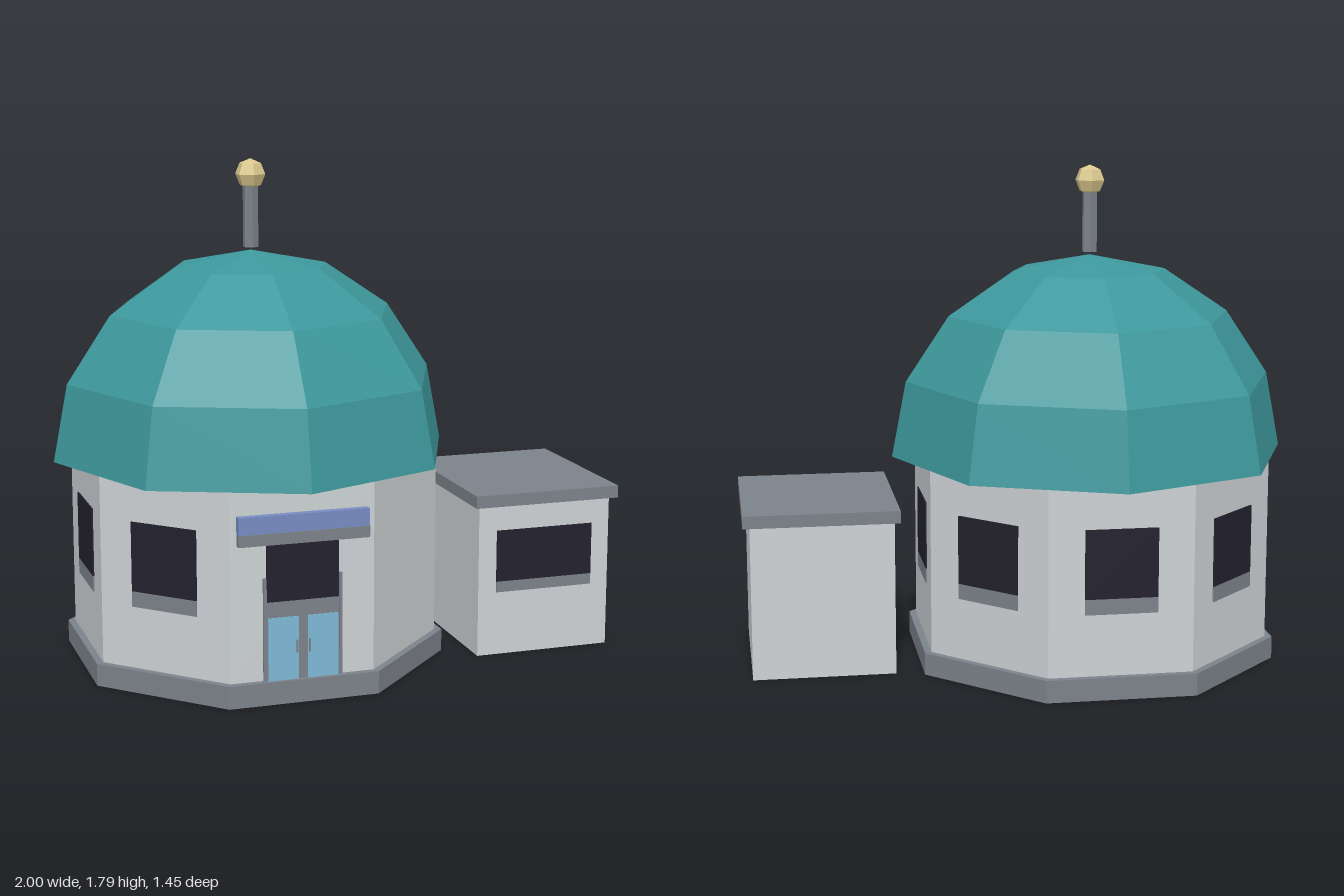
import * as THREE from 'three';

export function createModel() {
  const model = new THREE.Group();
  model.name = 'domedPavilion';

  const mat = (name, color, extra = {}) => {
    const m = new THREE.MeshStandardMaterial({ color, flatShading: true, ...extra });
    m.name = name;
    return m;
  };
  const wall = mat('paleWall', 0xcdd2d4);
  const trim = mat('greyTrim', 0x7c828a, { side: THREE.DoubleSide });
  const teal = mat('tealRoof', 0x3d989c, { side: THREE.DoubleSide });
  const dark = mat('darkWindow', 0x23212d);
  const glass = mat('blueGlass', 0x7fb8d6);
  const blue = mat('blueSign', 0x778cc2);
  const gold = mat('paleGold', 0xd9c78c);

  const add = (parent, name, geo, material, x = 0, y = 0, z = 0) => {
    const mesh = new THREE.Mesh(geo, material);
    mesh.name = name;
    mesh.position.set(x, y, z);
    parent.add(mesh);
    return mesh;
  };
  // Box given by its extents
  const box = (parent, name, material, x0, x1, y0, y1, z0, z1) =>
    add(parent, name, new THREE.BoxGeometry(x1 - x0, y1 - y0, z1 - z0), material,
      (x0 + x1) / 2, (y0 + y1) / 2, (z0 + z1) / 2);
  // Dark pane over a flat grey sill strip, on a wall facing +z
  const windowPane = (parent, cx, half, sill, y0, y1, z) => {
    box(parent, 'windowPane', dark, cx - half, cx + half, y0, y1, z - 0.001, z + 0.005);
    box(parent, 'windowSill', trim, cx - half, cx + half, sill, y0, z - 0.001, z + 0.005);
  };

  // Octagonal hall, flat side to the front
  const hall = new THREE.Group();
  hall.name = 'hall';
  hall.position.x = -0.275;
  model.add(hall);
  const C = Math.cos(Math.PI / 8);
  const octagon = (apothem, h, open) =>
    new THREE.CylinderGeometry(apothem / C, apothem / C, h, 8, 1, open).rotateY(Math.PI / 8);
  add(hall, 'walls', octagon(0.615, 0.67, false), wall, 0, 0.415, 0);

  // Plinth, hollow underneath
  add(hall, 'plinth', octagon(0.64, 0.08, true), trim, 0, 0.04, 0);
  add(hall, 'plinthTop', new THREE.CircleGeometry(0.64 / C, 8).rotateX(-Math.PI / 2).rotateY(Math.PI / 8),
    trim, 0, 0.079, 0);

  // Windows on every side except the front right
  for (let k = 0; k < 8; k++) {
    if (k === 1) continue;
    const side = new THREE.Group();
    side.name = 'wallWindow';
    side.rotation.y = k * Math.PI / 4;
    windowPane(side, 0, 0.128, 0.3, 0.355, 0.6, 0.615);
    hall.add(side);
  }

  // Faceted dome with corners on the axes
  const profile = [[0.725, 0.745], [0.672, 1.02], [0.515, 1.255], [0.278, 1.415], [0, 1.47]]
    .map(([r, y]) => new THREE.Vector2(r, y));
  add(hall, 'dome', new THREE.LatheGeometry(profile, 8), teal);

  // Finial
  add(hall, 'finialPost', new THREE.CylinderGeometry(0.028, 0.028, 0.22, 6), trim, 0, 1.59, 0);
  add(hall, 'finialBall', new THREE.SphereGeometry(0.055, 6, 4).rotateY(Math.PI / 6), gold, 0, 1.738, 0);

  // Entrance: frame, two glass doors with handles
  const entrance = new THREE.Group();
  entrance.name = 'entrance';
  hall.add(entrance);
  box(entrance, 'doorFrame', trim, -0.128, 0.128, 0, 0.33, 0.614, 0.621);
  for (const s of [-1, 1]) {
    add(entrance, 'framePost', new THREE.BoxGeometry(0.012, 0.44, 0.008), trim, s * 0.134, 0.22, 0.618);
    add(entrance, 'glassDoor', new THREE.BoxGeometry(0.108, 0.3, 0.009), glass, s * 0.07, 0.15, 0.6195);
    add(entrance, 'doorHandle', new THREE.BoxGeometry(0.005, 0.045, 0.005), trim, s * 0.022, 0.195, 0.626);
  }

  // Canopy and sign board above the entrance
  box(entrance, 'canopy', trim, -0.23, 0.23, 0.56, 0.6, 0.61, 0.645);
  box(entrance, 'signBoard', blue, -0.23, 0.23, 0.6, 0.66, 0.61, 0.642);

  // Small detached kiosk
  const kiosk = new THREE.Group();
  kiosk.name = 'kiosk';
  model.add(kiosk);
  box(kiosk, 'kioskWalls', wall, 0.465, 0.975, 0, 0.56, -0.235, 0.37);
  box(kiosk, 'kioskRoof', trim, 0.445, 1.0, 0.558, 0.603, -0.257, 0.393);
  windowPane(kiosk, 0.72, 0.186, 0.235, 0.275, 0.465, 0.37);

  return model;
}
